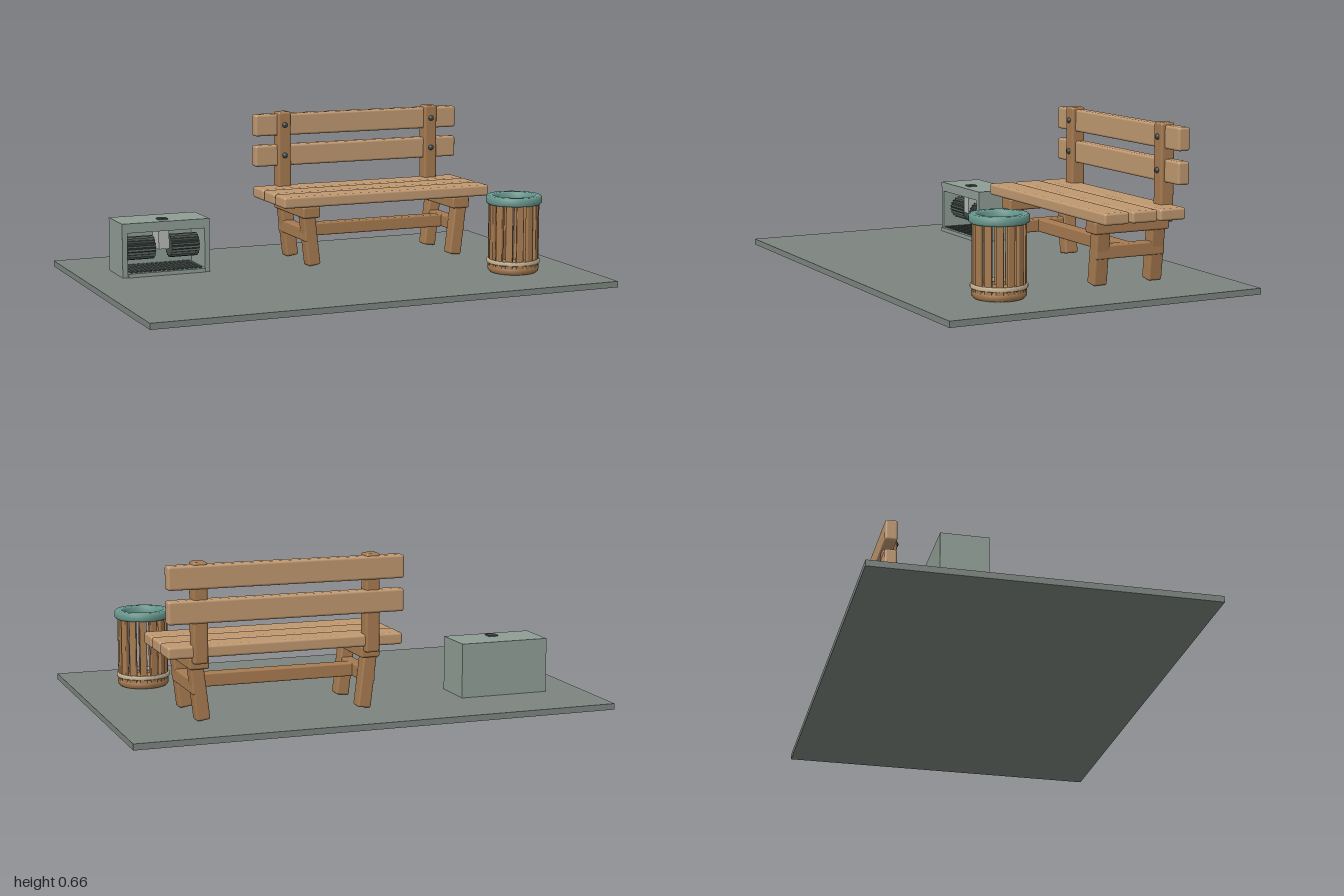
import * as THREE from 'three';
import { RoundedBoxGeometry } from 'three/addons/geometries/RoundedBoxGeometry.js';

const mat = (color) => new THREE.MeshStandardMaterial({ color });
const M = {
  ground: mat(0x7d857f), plank: mat(0xbf9870), frame: mat(0xa67a50), bolt: mat(0x3c4a4c),
  teal: mat(0x6a9a90), band: mat(0xcbb898), casing: mat(0x8f9d95), dark: mat(0x48524e), steel: mat(0xb4b8b4),
};

function add(parent, name, geometry, material, x = 0, y = 0, z = 0) {
  const mesh = new THREE.Mesh(geometry, material);
  mesh.name = name;
  mesh.position.set(x, y, z);
  parent.add(mesh);
  return mesh;
}

// Box given by its extents on each axis; r rounds the edges
function block(parent, name, material, [x0, x1], [y0, y1], [z0, z1], r = 0) {
  const s = [x1 - x0, y1 - y0, z1 - z0];
  const geometry = r ? new RoundedBoxGeometry(...s, 2, r) : new THREE.BoxGeometry(...s);
  return add(parent, name, geometry, material, (x0 + x1) / 2, (y0 + y1) / 2, (z0 + z1) / 2);
}

function subgroup(parent, name, x = 0, z = 0) {
  const g = new THREE.Group();
  g.name = name;
  g.position.set(x, 0, z);
  parent.add(g);
  return g;
}

function buildBench(root) {
  const bench = subgroup(root, 'bench', 0.32);
  const span = [-0.483, 0.483];
  // Seat and back planks
  for (const z of [[-0.195, -0.083], [-0.323, -0.208], [-0.452, -0.334]])
    block(bench, 'seatPlank', M.plank, span, [0.284, 0.332], z, 0.01);
  for (const y of [[0.42, 0.512], [0.553, 0.647]])
    block(bench, 'backPlank', M.plank, span, y, [-0.467, -0.414], 0.01);
  // Stretcher between the two leg frames
  block(bench, 'stretcher', M.frame, [-0.345, 0.345], [0.133, 0.188], [-0.29, -0.238], 0.007);

  for (const side of [-1, 1]) {
    const frame = subgroup(bench, side < 0 ? 'rightFrame' : 'leftFrame', side * 0.353);
    block(frame, 'seatBearer', M.frame, [-0.04, 0.04], [0.235, 0.284], [-0.434, -0.094], 0.008);
    block(frame, 'backPost', M.frame, [-0.03, 0.03], [0.26, 0.657], [-0.46, -0.398], 0.01);
    block(frame, 'sideRail', M.frame, [-0.025, 0.025], [0.133, 0.188], [-0.421, -0.107], 0.007);
    // Legs lean inward towards the ground
    for (const z of [-0.138, -0.39]) {
      const leg = add(frame, 'leg', new RoundedBoxGeometry(0.056, 0.243, 0.062, 2, 0.009), M.frame, -side * 0.005, 0.15, z);
      leg.rotation.z = -side * 0.12;
    }
    for (const y of [0.467, 0.6]) {
      const bolt = add(frame, 'bolt', new THREE.SphereGeometry(0.012, 14, 10), M.bolt, 0, y, -0.398);
      bolt.scale.z = 0.85;
    }
  }
}

function buildBin(root) {
  const bin = subgroup(root, 'litterBin', 0.705, 0.322);
  // Base disc with softened edges
  const base = [[0, 0.027], [0.096, 0.027], [0.105, 0.035], [0.107, 0.052], [0.1, 0.06], [0, 0.06]];
  add(bin, 'base', new THREE.LatheGeometry(base.map((p) => new THREE.Vector2(...p)), 32), M.frame);
  // Ring of upright slats
  const count = 14;
  for (let i = 0; i < count; i++) {
    const a = (i / count) * Math.PI * 2;
    const slat = add(bin, 'slat', new RoundedBoxGeometry(0.016, 0.285, 0.03, 2, 0.004), M.frame,
      Math.cos(a) * 0.097, 0.187, Math.sin(a) * 0.097);
    slat.rotation.y = -a;
  }
  // Closed ring from a rectangular section with small chamfers
  const ring = (name, material, r0, r1, y0, y1, c) => {
    const p = [[r0, y0 + c], [r0 + c, y0], [r1 - c, y0], [r1, y0 + c], [r1, y1 - c],
      [r1 - c, y1], [r0 + c, y1], [r0, y1 - c], [r0, y0 + c]];
    add(bin, name, new THREE.LatheGeometry(p.map((q) => new THREE.Vector2(...q)), 40), material);
  };
  ring('rim', M.teal, 0.081, 0.117, 0.315, 0.351, 0.007);
  ring('hoop', M.band, 0.1, 0.111, 0.066, 0.084, 0.003);
}

function buildMachine(root) {
  const machine = subgroup(root, 'brushMachine', -0.65);
  // Hollow casing: front frame with an opening, closed at the back
  const outline = new THREE.Shape();
  outline.moveTo(-0.19, 0.025).lineTo(0.19, 0.025).lineTo(0.19, 0.25).lineTo(-0.19, 0.25).closePath();
  const hole = new THREE.Path();
  hole.moveTo(-0.168, 0.035).lineTo(-0.168, 0.21).lineTo(0.168, 0.21).lineTo(0.168, 0.035).closePath();
  outline.holes.push(hole);
  add(machine, 'casing', new THREE.ExtrudeGeometry(outline, { depth: 0.185, bevelEnabled: false }), M.casing, 0, 0, -0.368);
  block(machine, 'backPanel', M.casing, [-0.19, 0.19], [0.025, 0.25], [-0.372, -0.358]);
  block(machine, 'button', M.dark, [-0.02, 0.02], [0.25, 0.256], [-0.26, -0.22]);

  // Floor tray with a grating
  block(machine, 'tray', M.casing, [-0.168, 0.168], [0.026, 0.042], [-0.36, -0.17]);
  for (let i = 0; i < 16; i++) {
    const x = -0.15 + i * 0.02;
    block(machine, 'gratingBar', M.dark, [x - 0.006, x + 0.006], [0.042, 0.047], [-0.355, -0.185]);
  }

  // Motor mount, axle and two bristled rollers
  block(machine, 'motorMount', M.steel, [-0.023, 0.023], [0.128, 0.21], [-0.3, -0.215]);
  const axle = add(machine, 'axle', new THREE.CylinderGeometry(0.007, 0.007, 0.336, 12), M.dark, 0, 0.133, -0.26);
  axle.rotation.z = Math.PI / 2;
  const gear = new THREE.Shape();
  for (let i = 0; i < 40; i++) {
    const a = (i / 40) * Math.PI * 2, r = i % 2 ? 0.049 : 0.042;
    gear[i ? 'lineTo' : 'moveTo'](Math.cos(a) * r, Math.sin(a) * r);
  }
  gear.closePath();
  for (const x of [-0.157, 0.035]) {
    const roller = add(machine, 'brushRoller', new THREE.ExtrudeGeometry(gear, { depth: 0.122, bevelEnabled: false }),
      M.dark, x, 0.133, -0.26);
    roller.rotation.y = Math.PI / 2;
  }
}

export function createModel() {
  const root = new THREE.Group();
  root.name = 'parkBenchScene';
  block(root, 'groundSlab', M.ground, [-1, 1], [0, 0.025], [-0.675, 0.675]);
  buildBench(root);
  buildBin(root);
  buildMachine(root);
  return root;
}
